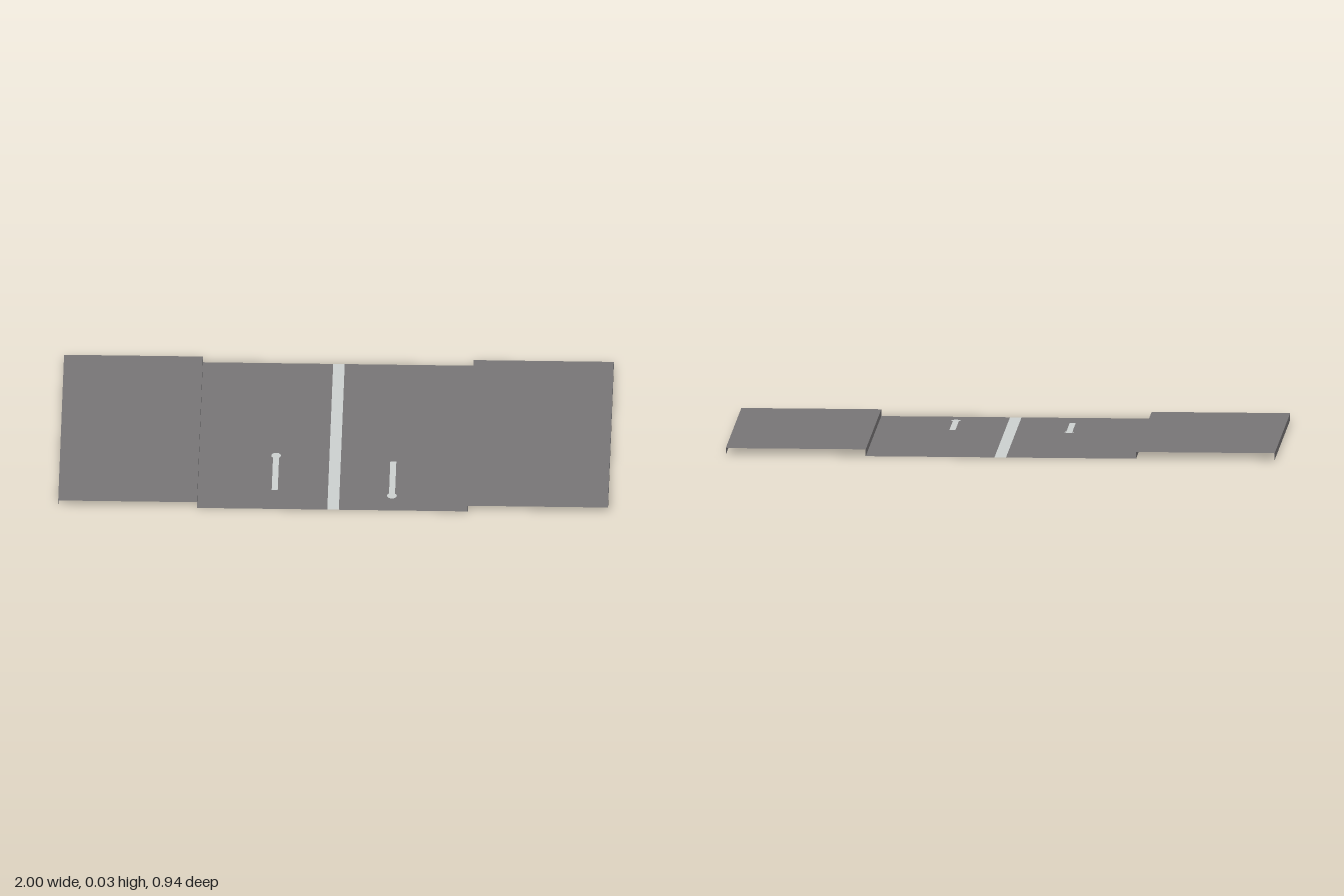
import * as THREE from 'three';

const DEPTH = 0.935, RAISED = 0.025;

export function createModel() {
  const model = new THREE.Group();
  model.name = 'steppedPanel';

  const grey = new THREE.MeshStandardMaterial({ color: 0x777576, side: THREE.DoubleSide });
  grey.name = 'dark grey';
  const pale = new THREE.MeshStandardMaterial({ color: 0xcbcfce, side: THREE.DoubleSide });
  pale.name = 'pale grey';

  const add = (name, geometry, material) => {
    const mesh = new THREE.Mesh(geometry, material);
    mesh.name = name;
    model.add(mesh);
    return mesh;
  };

  // Horizontal sheet spanning x0..x1 and z0..z1
  const sheet = (name, x0, x1, y, material, z0 = -DEPTH / 2, z1 = DEPTH / 2) =>
    add(name, new THREE.PlaneGeometry(x1 - x0, z1 - z0).rotateX(-Math.PI / 2)
      .translate((x0 + x1) / 2, y, (z0 + z1) / 2), material);

  // Upright strip across the full depth, facing along x
  const wall = (name, x) =>
    add(name, new THREE.PlaneGeometry(DEPTH, RAISED).rotateY(Math.PI / 2)
      .translate(x, RAISED / 2, 0), grey);

  const stepLeft = 0.49, stepRight = -0.495, stripe = 0.021;

  // Low middle deck, split by the pale centre stripe
  sheet('rightDeck', stepRight, -stripe, 0, grey);
  sheet('centreStripe', -stripe, stripe, 0, pale);
  sheet('leftDeck', stripe, stepLeft, 0, grey);

  // Raised outer decks with their risers and outer lips
  sheet('rightRaisedDeck', -1, stepRight, RAISED, grey);
  sheet('leftRaisedDeck', stepLeft, 1, RAISED, grey);
  wall('rightRiser', stepRight);
  wall('leftRiser', stepLeft);
  wall('rightLip', -1);
  wall('leftLip', 1);

  // Flat pin-shaped marks: a bar with a round head at one end
  const mark = (name, x, headZ, tailZ) => {
    sheet(name + 'Bar', x - 0.011, x + 0.011, 0.0008, pale,
      Math.min(headZ, tailZ), Math.max(headZ, tailZ));
    add(name + 'Head', new THREE.CircleGeometry(0.018, 12).rotateX(-Math.PI / 2)
      .translate(x, 0.0012, headZ), pale);
  };
  mark('rightMark', -0.215, 0.127, 0.347);
  mark('leftMark', 0.212, 0.375, 0.155);

  return model;
}
